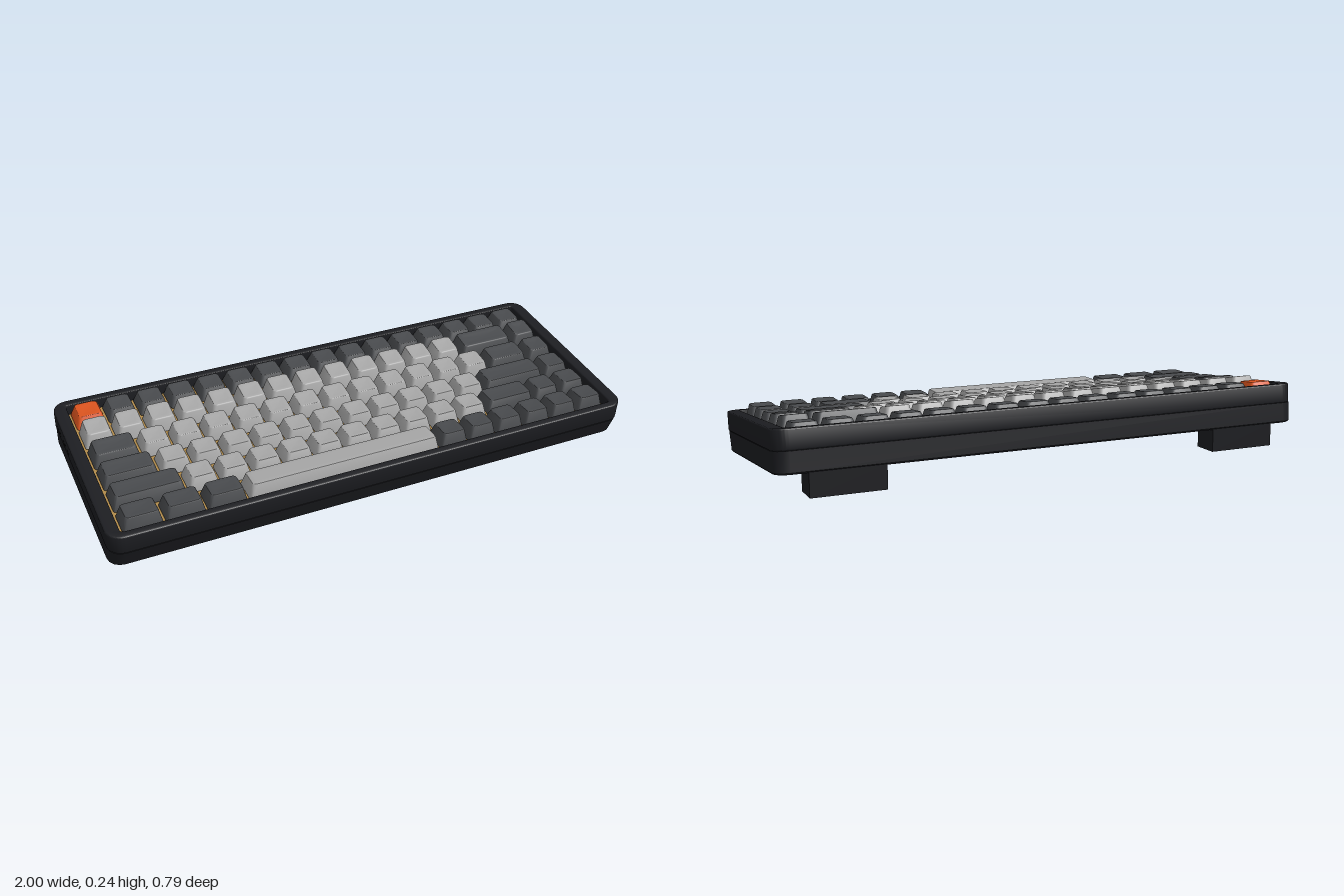
import * as THREE from 'three';
import { toCreasedNormals } from 'three/addons/utils/BufferGeometryUtils.js';

const mat = (color) => new THREE.MeshStandardMaterial({ color });
const caseMat = mat(0x1c1d21), plateMat = mat(0xb08a4a), portMat = mat(0x08080a);
const keyMats = { dark: mat(0x484a4d), light: mat(0xa6a6a6), accent: mat(0xd9531e) };

const TILT = 0.104;           // whole case leans forward
const UNIT = 0.1177;          // key pitch
const DEPTH = 0.776, TOP = 0.148, SEAM = 0.076;

function add(parent, name, geometry, material, x = 0, y = 0, z = 0) {
  const mesh = new THREE.Mesh(geometry, material);
  mesh.name = name;
  mesh.position.set(x, y, z);
  parent.add(mesh);
  return mesh;
}

// Rounded rectangle ring: w wide, d deep, corner radius r, centred at z, rising by slope to the back
function ring({ w, d, r, y, z = 0, slope = 0 }) {
  const pts = [], n = 4;
  for (let c = 0; c < 4; c++) {
    const sx = c === 0 || c === 3 ? 1 : -1, sz = c < 2 ? 1 : -1;
    for (let i = 0; i <= n; i++) {
      const a = (c + i / n) * Math.PI / 2;
      const pz = sz * (d / 2 - r) + r * Math.sin(a);
      pts.push([sx * (w / 2 - r) + r * Math.cos(a), y - slope * pz, z + pz]);
    }
  }
  return pts;
}

// Skin stacked rings from bottom to top and close both ends
function loft(specs, crease = 0.6) {
  const rings = specs.map(ring), n = rings[0].length;
  const pos = rings.flat(2), idx = [];
  for (let k = 0; k < rings.length - 1; k++) {
    for (let j = 0; j < n; j++) {
      const a = k * n + j, b = k * n + (j + 1) % n;
      idx.push(a, a + n, b, b, a + n, b + n);
    }
  }
  const first = specs[0], last = specs[specs.length - 1];
  const bottom = rings.length * n, top = bottom + 1, start = (rings.length - 1) * n;
  pos.push(0, first.y, first.z || 0, 0, last.y, last.z || 0);
  for (let j = 0; j < n; j++) {
    const k = (j + 1) % n;
    idx.push(bottom, j, k, top, start + k, start + j);
  }
  const g = new THREE.BufferGeometry();
  g.setAttribute('position', new THREE.Float32BufferAttribute(pos, 3));
  g.setIndex(idx);
  return toCreasedNormals(g, crease);
}

// Tapered keycap with softened rim and a shallow dish
function keycap(units, height, slope, dish) {
  const w = units * UNIT - 0.008, d = UNIT - 0.008;
  const step = (inset, y, r, s) => ({ w: w - 2 * inset, d: d - 2 * inset, r, y, slope: s });
  return loft([
    step(0, 0, 0.01, 0),
    step(0.0125, height - 0.004, 0.013, slope),
    step(0.0145, height - 0.001, 0.013, slope),
    step(0.0175, height, 0.012, slope),
    step(0.032, height - dish, 0.01, slope),
  ]);
}

function roundedOutline(target, w, d, r) {
  const x = w / 2, y = d / 2;
  target.absarc(x - r, y - r, r, 0, Math.PI / 2);
  target.absarc(-x + r, y - r, r, Math.PI / 2, Math.PI);
  target.absarc(-x + r, -y + r, r, Math.PI, Math.PI * 1.5);
  target.absarc(x - r, -y + r, r, Math.PI * 1.5, Math.PI * 2);
  target.closePath();
  return target;
}

// Rows from back to front: key runs [count, width in units, colour], cap top height, cap top slope
const rows = [
  { top: 0.159, slope: 0, runs: [[1, 1, 'accent'], [15, 1, 'dark']] },
  { top: 0.170, slope: 0.11, runs: [[13, 1, 'light'], [1, 2, 'dark'], [1, 1, 'dark']] },
  { top: 0.166, slope: 0.05, runs: [[1, 1.5, 'dark'], [12, 1, 'light'], [1, 1.5, 'dark'], [1, 1, 'dark']] },
  { top: 0.163, slope: -0.015, runs: [[1, 1.75, 'dark'], [11, 1, 'light'], [1, 2.25, 'dark'], [1, 1, 'dark']] },
  { top: 0.165, slope: -0.06, runs: [[1, 2.25, 'dark'], [10, 1, 'light'], [1, 1.75, 'dark'], [2, 1, 'dark']] },
  { top: 0.169, slope: -0.104, runs: [[3, 1.25, 'dark'], [1, 6.25, 'light'], [6, 1, 'dark']] },
];

function buildKeys() {
  const keys = new THREE.Group();
  keys.name = 'keycaps';
  const base = 0.112;
  rows.forEach(({ top, slope, runs }, r) => {
    let u = -8;
    const z = (r - 2.5) * UNIT - 0.004;
    for (const [count, width, color] of runs) {
      const geometry = keycap(width, top - base, slope, width > 3 ? 0 : 0.003);
      for (let i = 0; i < count; i++, u += width) {
        const name = width > 3 ? 'spaceBar' : color + 'Key';
        add(keys, name, geometry, keyMats[color], (u + width / 2) * UNIT - 0.002, base, z);
      }
    }
  });
  return keys;
}

export function createModel() {
  const model = new THREE.Group();
  model.name = 'keyboard';

  const body = new THREE.Group();
  body.name = 'tiltedBody';
  body.position.set(0, 0.043, -0.006);
  body.rotation.x = TILT;
  model.add(body);

  // Lower shell, its front wall sloping inward to the bottom
  const shell = (w, back, front, y) => ({ w, d: front - back, r: 0.05, y, z: (front + back) / 2 });
  add(body, 'lowerCase', loft([
    shell(1.984, -0.383, 0.357, 0),
    shell(1.996, -0.388, 0.365, 0.006),
    shell(1.996, -0.388, 0.387, SEAM),
  ]), caseMat);

  // Upper frame around the keys
  const frame = roundedOutline(new THREE.Shape(), 2, DEPTH, 0.055);
  frame.holes.push(roundedOutline(new THREE.Path(), 1.905, 0.716, 0.012));
  const bevel = 0.005;
  const frameGeometry = new THREE.ExtrudeGeometry(frame, {
    depth: TOP - SEAM - 2 * bevel, bevelSize: bevel, bevelThickness: bevel,
    bevelOffset: -bevel, bevelSegments: 3, curveSegments: 8,
  });
  frameGeometry.rotateX(-Math.PI / 2);
  add(body, 'upperFrame', toCreasedNormals(frameGeometry, 0.6), caseMat, 0, SEAM + bevel, 0);

  // Switch plate seen between the keys
  add(body, 'switchPlate', new THREE.BoxGeometry(1.93, 0.03, 0.74), plateMat, 0, 0.09, 0);

  body.add(buildKeys());

  // Socket and two switches on the side wall
  [[-0.28, 0.045], [-0.2, 0.03], [-0.15, 0.03]].forEach(([z, d], i) =>
    add(body, i ? 'sideSwitch' : 'cableSocket', new THREE.BoxGeometry(0.01, 0.016, d), portMat, -0.9955, 0.1, z));

  // Rear feet
  for (const s of [-1, 1]) {
    add(model, s > 0 ? 'leftFoot' : 'rightFoot', new THREE.BoxGeometry(0.26, 0.086, 0.098), caseMat, s * 0.76, 0.043, -0.341);
  }
  return model;
}
